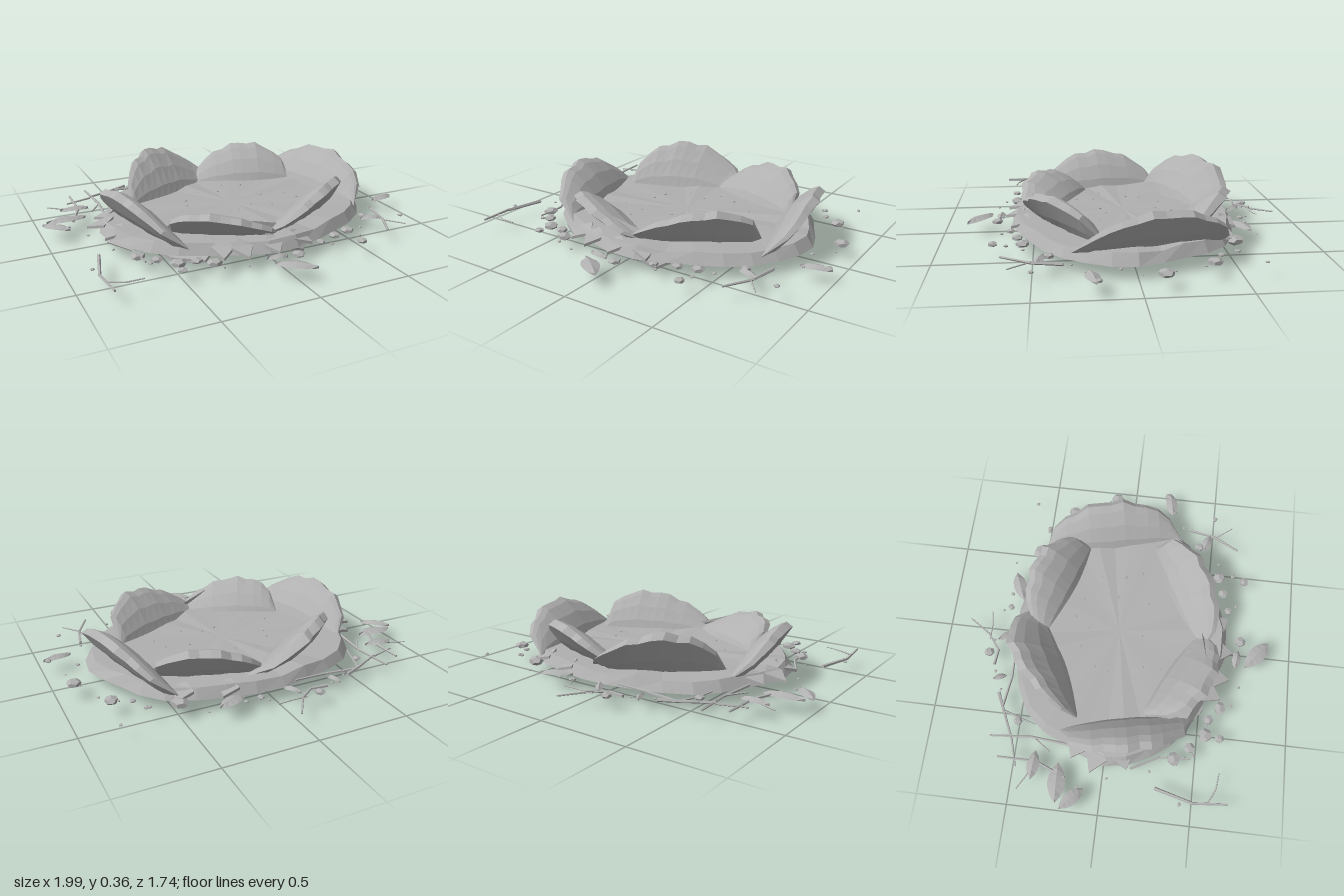
import * as THREE from 'three';

const stone = new THREE.MeshStandardMaterial({ color: 0xb0b0b0, flatShading: true, side: THREE.DoubleSide });
stone.name = 'grey stone';

// Small seeded generator for chips and pebbles
let seed = 7;
const rnd = () => ((seed = (seed * 16807) % 2147483647) / 2147483647);

// Plate cross-section as [outward, upward] fractions: steep inner foot, sloping face, rounded lip, underside
const SECTION = [[0.08, -0.2], [0, 0], [0.13, 0.32], [0.38, 0.66], [0.66, 0.91], [0.84, 1], [1, 0.88], [0.7, 0.38], [0.34, -0.1]];

export function createModel() {
  const group = new THREE.Group();
  const add = (geo, name) => {
    const mesh = new THREE.Mesh(geo, stone);
    mesh.name = name;
    group.add(mesh);
    return mesh;
  };
  const addFaces = (pos, idx, name) => {
    const geo = new THREE.BufferGeometry();
    geo.setAttribute('position', new THREE.Float32BufferAttribute(pos, 3));
    geo.setIndex(idx);
    geo.computeVertexNormals();
    add(geo, name);
  };

  // Oval ground shell, open underneath: a faintly rippled fan floor and a bevelled skirt
  const oval = (geo, y, name) => {
    const p = geo.attributes.position;
    for (let i = 0; i < p.count; i++) {
      const x = p.getX(i), z = p.getZ(i), a = Math.atan2(z, x);
      const k = 1 + 0.02 * Math.sin(5 * a) + 0.015 * Math.cos(8 * a);
      const centre = Math.hypot(x, z) < 0.1, top = p.getY(i) + y > 0.1;
      const ripple = centre ? -0.004 : top ? 0.005 * Math.sin(9 * a) + 0.004 * Math.sin(13 * a + 1) : 0;
      p.setXYZ(i, 0.03 + x * 0.76 * k, p.getY(i) + y + ripple, z * 0.605 * k);
    }
    add(geo, name);
  };
  oval(new THREE.CircleGeometry(0.95, 30).rotateX(-Math.PI / 2), 0.125, 'groundFloor');
  oval(new THREE.CylinderGeometry(0.95, 1, 0.055, 30, 1, true).rotateY(Math.PI / 2), 0.0975, 'groundSkirt');

  // Thick plate: the cross-section swept along its base line, tapering to both ends.
  // skew moves the peak, leanSkew the widest place, spread slides the lip along the base.
  function plate(ax, az, bx, bz, height, lean, skew, leanSkew, spread, name) {
    const N = 12, M = SECTION.length, pos = [], idx = [];
    const along = new THREE.Vector2(bx - ax, bz - az).normalize();
    const out = new THREE.Vector2(along.y, -along.x);
    if (out.x * (ax + bx) + out.y * (az + bz) < 0) out.negate();
    const arch = (u, k) => Math.max(0, Math.sin(Math.PI * Math.pow(u, k)));
    for (let i = 0; i <= N; i++) {
      const u = i / N, wobble = 1 + 0.04 * Math.sin(i * 2.3 + ax * 9);
      const w = lean * Math.pow(arch(u, leanSkew), 0.45) * wobble;
      const h = height * Math.pow(arch(u, skew), 0.6) * wobble;
      for (const [o, v] of SECTION) {
        const d = w * o - 0.03 * arch(u, 1), t = spread * o * u;
        pos.push(ax + (bx - ax) * u + out.x * d + along.x * t, 0.1 + h * v, az + (bz - az) * u + out.y * d + along.y * t);
      }
    }
    for (let i = 0; i < N; i++) {
      for (let j = 0; j < M; j++) {
        const p = i * M, q = p + M, k = (j + 1) % M;
        idx.push(p + j, p + k, q + k, p + j, q + k, q + j);
      }
    }
    addFaces(pos, idx, name);
  }
  plate(-0.57, -0.28, -0.42, 0.46, 0.22, 0.23, 1, 1, 0, 'leftPlate');
  plate(-0.51, -0.16, 0.03, -0.41, 0.25, 0.28, 0.85, 1.4, 0.13, 'backLeftPlate');
  plate(0.56, -0.21, -0.04, -0.41, 0.21, 0.26, 0.85, 1, 0, 'backRightPlate');
  plate(0.49, -0.5, 0.66, 0.31, 0.22, 0.23, 1, 1, 0, 'rightPlate');
  plate(0.58, 0.13, 0.01, 0.44, 0.22, 0.24, 0.68, 1, 0.06, 'frontRightPlate');
  plate(-0.44, 0.17, 0.1, 0.46, 0.17, 0.28, 0.72, 0.9, 0, 'frontLeftPlate');

  // Flat wedge given by its outline corners, with a small thickness
  function shard(pts, name) {
    const n = pts.length, pos = [], idx = [];
    for (const t of [0, -0.015]) for (const [x, y, z] of pts) pos.push(x, y + t, z);
    for (let i = 1; i < n - 1; i++) idx.push(0, i, i + 1, n, n + i + 1, n + i);
    for (let i = 0; i < n; i++) {
      const k = (i + 1) % n;
      idx.push(i, n + i, n + k, i, n + k, k);
    }
    addFaces(pos, idx, name);
  }
  shard([[-0.1, 0.21, 0.5], [0.06, 0.16, 0.47], [0.24, 0.035, 0.47], [0.19, 0.015, 0.54], [0.05, 0.08, 0.58]], 'sunkenShard');
  shard([[-0.55, 0.08, 0.32], [-0.32, 0.08, 0.5], [-0.36, 0.055, 0.52], [-0.5, 0.055, 0.42]], 'sunkenShard');
  shard([[-0.55, 0.08, -0.2], [-0.38, 0.08, -0.28], [-0.34, 0.05, -0.12], [-0.5, 0.055, -0.05]], 'sunkenShard');

  // Pointed chips on the rim: base centre x, z and the step to the tip
  for (const [x, z, dx, dz] of [[-0.27, 0.53, -0.03, 0.08], [-0.18, 0.56, 0, 0.09], [-0.02, 0.58, 0, 0.08],
    [0.14, 0.56, 0.05, 0.06], [-0.7, -0.04, -0.09, -0.03], [-0.68, 0.1, -0.07, 0.03], [-0.65, -0.15, -0.07, -0.03],
    [0.24, -0.53, 0.05, -0.05], [0.46, -0.47, 0.06, -0.06]]) {
    const l = Math.hypot(dx, dz), px = -dz / l * 0.06, pz = dx / l * 0.06;
    shard([[x + px, 0.115, z + pz], [x + dx, 0.09, z + dz], [x - px, 0.115, z - pz], [x - dx * 0.5, 0.14, z - dz * 0.5]], 'rimChip');
  }

  // Folded leaves lying around the slab: x, z, length, heading
  for (const [x, z, len, a] of [[-0.935, -0.15, 0.17, 0.75], [-0.86, -0.24, 0.22, -0.05], [-0.78, -0.38, 0.16, 0.05],
    [0.26, -0.62, 0.18, -0.4], [0.915, 0.225, 0.16, -0.2], [-0.01, 0.8, 0.21, 0.65],
    [-0.06, -0.65, 0.1, 1], [-0.31, -0.645, 0.08, 1.2], [-0.05, 0.685, 0.11, 0.1], [0.67, 0.46, 0.12, 0.3]]) {
    const leaf = new THREE.PlaneGeometry(len, 1, 6, 2).rotateX(-Math.PI / 2);
    const p = leaf.attributes.position;
    for (let i = 0; i < p.count; i++) {
      const t = p.getX(i) / len + 0.5, side = Math.sign(p.getZ(i));
      const w = len * 0.22 * Math.pow(Math.max(0, Math.sin(Math.PI * t)), 0.75);
      p.setXYZ(i, p.getX(i), (side ? 0 : 0.014) + 0.012 * Math.sin(Math.PI * t), side * w);
    }
    const m = add(leaf, 'leaf');
    m.position.set(x, 0.07, z);
    m.rotation.y = -a;
  }

  // Twigs made of tapering straight lengths through x, z points
  const twig = (r, ...pts) => {
    for (let i = 0; i < pts.length - 1; i++) {
      const a = new THREE.Vector3(pts[i][0], 0.078, pts[i][1]);
      const b = new THREE.Vector3(pts[i + 1][0], 0.078 + 0.006 * (i % 2), pts[i + 1][1]);
      const d = b.clone().sub(a), k = 1 - 0.2 * i;
      const m = add(new THREE.CylinderGeometry(r * k * 0.8, r * k, d.length(), 5), 'twig');
      m.position.copy(a).add(b).multiplyScalar(0.5);
      m.quaternion.setFromUnitVectors(new THREE.Vector3(0, 1, 0), d.normalize());
    }
  };
  twig(0.009, [-0.24, -0.69], [-0.15, -0.68], [-0.06, -0.75], [0.02, -0.87]);
  twig(0.004, [-0.09, -0.74], [0.0, -0.74], [0.08, -0.755]);
  twig(0.01, [-0.4, -0.635], [-0.5, -0.59], [-0.65, -0.52], [-0.8, -0.475]);
  twig(0.008, [-0.48, -0.6], [-0.3, -0.575], [-0.12, -0.58]);
  twig(0.006, [-0.5, -0.59], [-0.54, -0.47], [-0.56, -0.4]);
  twig(0.009, [-0.83, -0.2], [-0.76, -0.37], [-0.76, -0.58]);
  twig(0.005, [-0.76, -0.37], [-0.85, -0.41], [-0.92, -0.45]);
  twig(0.009, [-0.65, -0.2], [-0.63, -0.42], [-0.65, -0.64]);
  twig(0.005, [-0.63, -0.4], [-0.7, -0.3]);
  twig(0.01, [-0.83, 0.29], [-0.885, 0.5], [-0.87, 0.69]);
  twig(0.005, [-0.88, 0.58], [-0.8, 0.62], [-0.71, 0.63]);
  twig(0.008, [-0.74, 0.15], [-0.66, 0.3], [-0.65, 0.47]);
  twig(0.009, [0.75, 0.35], [0.72, 0.5], [0.64, 0.65]);
  twig(0.004, [0.72, 0.52], [0.79, 0.61]);

  // Stones around the rim: x, z, radius
  const rock = (x, y, z, r, name) => {
    const m = add(new THREE.DodecahedronGeometry(r, 0), name);
    m.scale.set(1, 0.5, 0.8 + rnd() * 0.3);
    m.rotation.y = rnd() * 6;
    m.position.set(x, y, z);
  };
  for (const [x, z, r] of [[0.5, -0.53, 0.05], [0.79, -0.36, 0.04], [0.91, -0.11, 0.04], [0.97, 0.2, 0.02],
    [0.45, 0.55, 0.035], [0.44, 0.7, 0.027], [0.06, 0.7, 0.032], [0.24, 0.62, 0.025], [0.35, 0.58, 0.03],
    [-0.51, 0.54, 0.04], [-0.52, 0.62, 0.025], [-0.35, 0.61, 0.04], [-0.42, 0.55, 0.03], [-0.66, 0.38, 0.04],
    [-0.59, 0.46, 0.03], [-0.17, -0.73, 0.03], [-0.55, -0.5, 0.025], [0.82, -0.6, 0.012], [0.66, -0.5, 0.015],
    [0.7, -0.41, 0.018], [0.84, 0.5, 0.015], [0.64, 0.42, 0.03], [-0.9, 0.43, 0.012], [0.12, -0.65, 0.02]])
    rock(x, 0.08, z, r, 'rimStone');

  // Tiny pebbles outside the rim and on the floor
  for (let i = 0; i < 30; i++) {
    const a = i * 2.4, k = 1.05 + rnd() * 0.12;
    rock(0.02 + Math.cos(a) * 0.78 * k, 0.078, Math.sin(a) * 0.63 * k, 0.006 + rnd() * 0.008, 'pebble');
  }
  for (let i = 0; i < 16; i++) {
    const a = i * 2.4, k = 0.12 + rnd() * 0.3;
    rock(0.06 + Math.cos(a) * k, 0.125, Math.sin(a) * k * 0.75, 0.006 + rnd() * 0.004, 'floorPebble');
  }
  return group;
}
